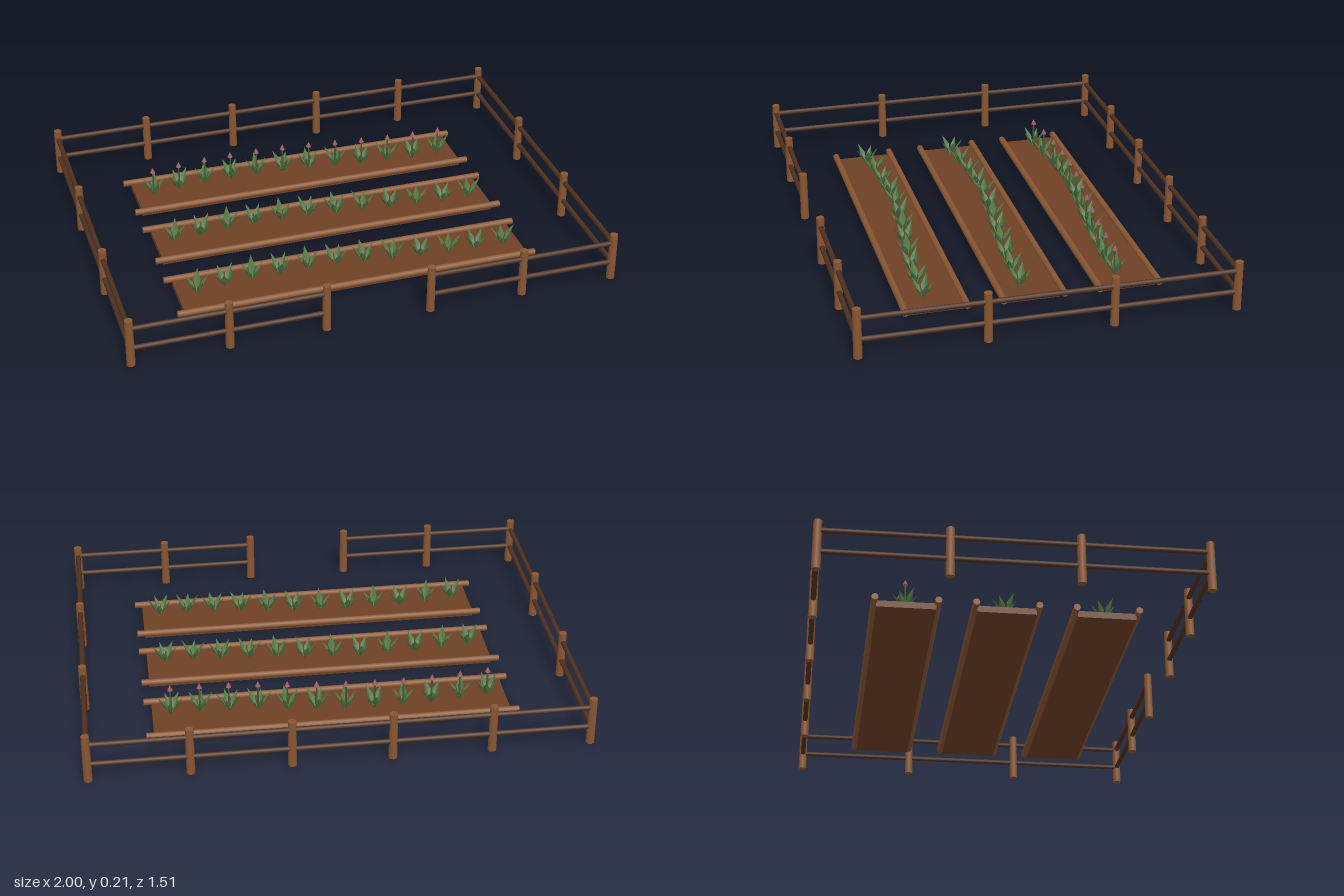
import * as THREE from 'three';

const mat = (name, color, extra = {}) => Object.assign(new THREE.MeshStandardMaterial({ color, ...extra }), { name });

// Folded kite-shaped leaf rising outward along +x
function leafGeometry() {
  const base = [0.004, 0, 0], tip = [0.054, 0.086, 0], keel = [0.031, 0.04, 0];
  const left = [0.026, 0.047, 0.015], right = [0.026, 0.047, -0.015];
  const faces = [base, left, keel, keel, left, tip, base, keel, right, keel, tip, right];
  const g = new THREE.BufferGeometry();
  g.setAttribute('position', new THREE.Float32BufferAttribute(faces.flat(), 3));
  g.computeVertexNormals();
  return g;
}

export function createModel() {
  const model = new THREE.Group();
  model.name = 'fencedGarden';
  const wood = mat('postWood', 0x8a5732);
  const railWood = mat('darkRailWood', 0x4e3121);
  const soilMat = mat('soil', 0x6f4026);
  const leafMat = mat('leafGreen', 0x4f7a45, { side: THREE.DoubleSide });
  const stemMat = mat('stemGreen', 0x3f6238);
  const petalMat = mat('petalPink', 0x9c5360);

  const add = (parent, name, geometry, material, x, y, z) => {
    const m = new THREE.Mesh(geometry, material);
    m.name = name;
    m.position.set(x, y, z);
    parent.add(m);
    return m;
  };

  // Fence: each run has evenly spaced posts joined by two rails
  const fence = new THREE.Group();
  fence.name = 'fence';
  model.add(fence);
  const postGeo = new THREE.CylinderGeometry(0.0165, 0.0175, 0.203, 8);
  const X = 0.981, Z = 0.736;
  const post = (x, z) => add(fence, 'fencePost', postGeo, wood, x, 0.1045, z);
  const rails = (x1, z1, x2, z2) => {
    const length = Math.hypot(x2 - x1, z2 - z1);
    const geo = new THREE.CylinderGeometry(0.0105, 0.0105, length, 8);
    for (const y of [0.078, 0.166]) {
      const r = add(fence, 'fenceRail', geo, railWood, (x1 + x2) / 2, y, (z1 + z2) / 2);
      if (z1 === z2) r.rotation.z = Math.PI / 2;
      else r.rotation.x = Math.PI / 2;
    }
  };
  for (let i = 0; i < 6; i++) post(-X + (i * 2 * X) / 5, -Z);
  rails(-X, -Z, X, -Z);
  for (const s of [-1, 1]) {
    post(s * X, -Z / 3);
    post(s * X, Z / 3);
    rails(s * X, -Z, s * X, Z);
    // Front runs leave a gateway in the middle
    for (const x of [0.212, 0.597, X]) post(s * x, Z);
    rails(s * 0.212, Z, s * X, Z);
  }

  // Planting beds
  const soilGeo = new THREE.BoxGeometry(1.432, 0.026, 0.228);
  const logGeo = new THREE.CylinderGeometry(0.0138, 0.0138, 1.494, 8);
  const leafGeo = leafGeometry();
  const stemGeo = new THREE.CylinderGeometry(0.0035, 0.0045, 0.115, 5);
  const budGeo = new THREE.ConeGeometry(0.012, 0.024, 6);

  const makePlant = (index, flowering) => {
    const plant = new THREE.Group();
    plant.name = 'plant';
    for (let k = 0; k < 5; k++) {
      const leaf = add(plant, 'leaf', leafGeo, leafMat, 0, 0, 0);
      leaf.rotation.y = (k * 2 * Math.PI) / 5 + index * 0.7;
      leaf.scale.setScalar(0.92 + 0.08 * Math.sin(k * 2.3 + index));
    }
    if (flowering) {
      add(plant, 'flowerStem', stemGeo, stemMat, 0, 0.0575, 0);
      add(plant, 'flowerBud', budGeo, petalMat, 0, 0.122, 0);
    }
    return plant;
  };

  [-0.386, 0, 0.386].forEach((z, b) => {
    const bed = new THREE.Group();
    bed.name = 'plantingBed';
    bed.position.z = z;
    model.add(bed);
    add(bed, 'soil', soilGeo, soilMat, 0, 0.013, 0);
    for (const s of [-1, 1]) {
      add(bed, 'edgingLog', logGeo, wood, 0, 0.027, s * 0.121).rotation.z = Math.PI / 2;
    }
    // A gently winding row; only the back bed is in flower
    for (let i = 0; i < 12; i++) {
      const plant = makePlant(i, b === 0);
      plant.position.set(-0.64 + i * 0.1164, 0.025, -0.032 * Math.sin(i * 0.45));
      bed.add(plant);
    }
  });
  return model;
}
